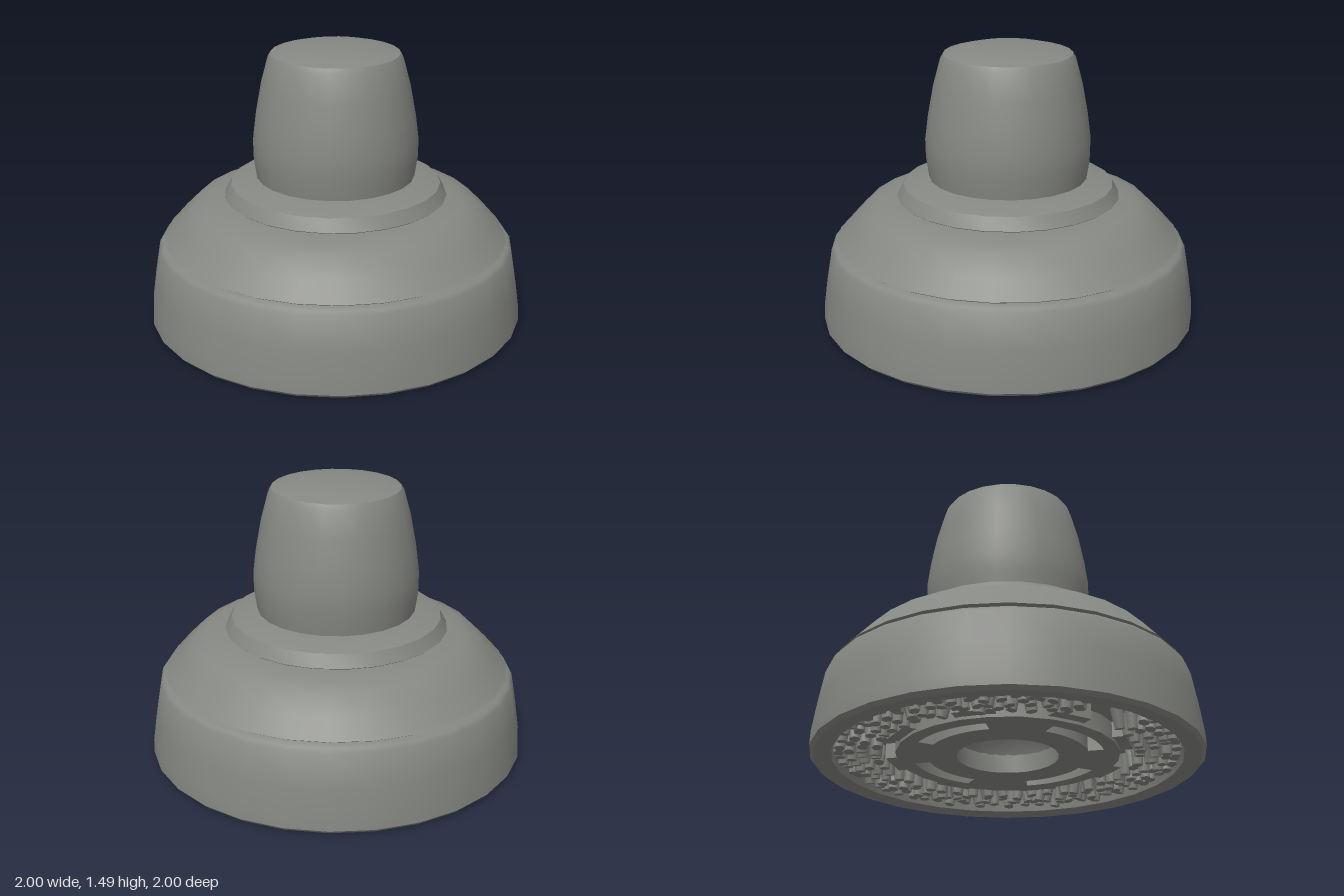
import * as THREE from 'three';
import { mergeGeometries, toCreasedNormals } from 'three/addons/utils/BufferGeometryUtils.js';

export function createModel() {
  const group = new THREE.Group();
  const grey = new THREE.MeshStandardMaterial({ color: 0x868883 });
  grey.name = 'grey plastic';

  const add = (name, geometry) => {
    const mesh = new THREE.Mesh(geometry, grey);
    mesh.name = name;
    group.add(mesh);
    return mesh;
  };
  // profile runs along the underside from the axis, then up the outside
  const turned = (name, profile, segments = 28) => {
    const geo = new THREE.LatheGeometry(profile.map(([r, y]) => new THREE.Vector2(r, y)), segments);
    return add(name, toCreasedNormals(geo, 0.6));
  };
  let seed = 7;
  const random = () => (seed = (seed * 16807) % 2147483647) / 2147483647;

  // skirt with the recess for the bristles and the central socket underneath
  turned('skirt', [
    [0, 0.34], [0.14, 0.31], [0.22, 0.24], [0.26, 0.14], [0.87, 0.14], [0.89, 0.02],
    [0.93, 0.005], [0.98, 0.01], [1, 0.03], [0.997, 0.1], [0.975, 0.25],
    [0.945, 0.42], [0.93, 0.44], [0.89, 0.455], [0, 0.455],
  ]);

  // sloping shoulder
  turned('shoulder', [
    [0, 0.45], [0.89, 0.45], [0.915, 0.465], [0.9, 0.48], [0.83, 0.56],
    [0.745, 0.645], [0.68, 0.67], [0.58, 0.69], [0, 0.69],
  ]);

  // bevelled collar
  turned('collar', [
    [0, 0.68], [0.57, 0.68], [0.59, 0.695], [0.555, 0.76], [0.43, 0.797], [0, 0.797],
  ], 24);

  // rounded knob
  turned('knob', [
    [0.415, 0.78], [0.433, 0.9], [0.435, 1.0], [0.418, 1.13], [0.388, 1.29],
    [0.35, 1.43], [0.335, 1.455], [0.23, 1.482], [0.1, 1.49], [0, 1.49],
  ], 24);

  // hub plate with a central hole and four curved slots
  const plate = new THREE.Shape();
  plate.absarc(0, 0, 0.57, 0, Math.PI * 2);
  const hole = new THREE.Path();
  hole.absarc(0, 0, 0.26, 0, Math.PI * 2, true);
  plate.holes.push(hole);
  for (let i = 0; i < 4; i++) {
    const mid = i * Math.PI / 2;
    const slot = new THREE.Path();
    slot.absarc(0, 0, 0.49, mid - 0.45, mid + 0.45, false);
    slot.absarc(0, 0, 0.41, mid + 0.45, mid - 0.45, true);
    slot.closePath();
    plate.holes.push(slot);
  }
  const hub = new THREE.ExtrudeGeometry(plate, { depth: 0.1, bevelEnabled: false, curveSegments: 12 });
  hub.rotateX(Math.PI / 2);
  hub.translate(0, 0.145, 0);
  add('hubPlate', toCreasedNormals(hub, 0.6));

  // short blocks around the hub
  const tabs = [];
  for (let i = 0; i < 8; i++) {
    const tab = new THREE.BoxGeometry(0.07, 0.09, 0.2);
    tab.translate(0.59, 0.105, 0);
    tab.rotateY((i + 0.5) * Math.PI / 4);
    tabs.push(tab);
  }
  add('hubTabs', mergeGeometries(tabs));

  // rings of short, slightly tilted bristle tufts, with a bare patch near the front
  const tufts = [];
  for (const radius of [0.67, 0.74, 0.8, 0.85]) {
    const count = Math.round(radius * Math.PI * 2 / 0.085);
    for (let i = 0; i < count; i++) {
      const angle = (i + random() * 0.4) / count * Math.PI * 2;
      const tilt = (random() - 0.5) * 0.5;
      const length = 0.1 + random() * 0.025;
      // angle is measured from +z towards +x
      if (Math.abs(angle - (Math.PI * 2 - 0.2)) < 0.2) continue;
      const tuft = new THREE.CylinderGeometry(0.036, 0.028, length, 6);
      tuft.rotateZ(tilt);
      tuft.translate(0, 0.15 - length / 2, radius);
      tuft.rotateY(angle);
      tufts.push(tuft);
    }
  }
  add('bristles', mergeGeometries(tufts));

  return group;
}
